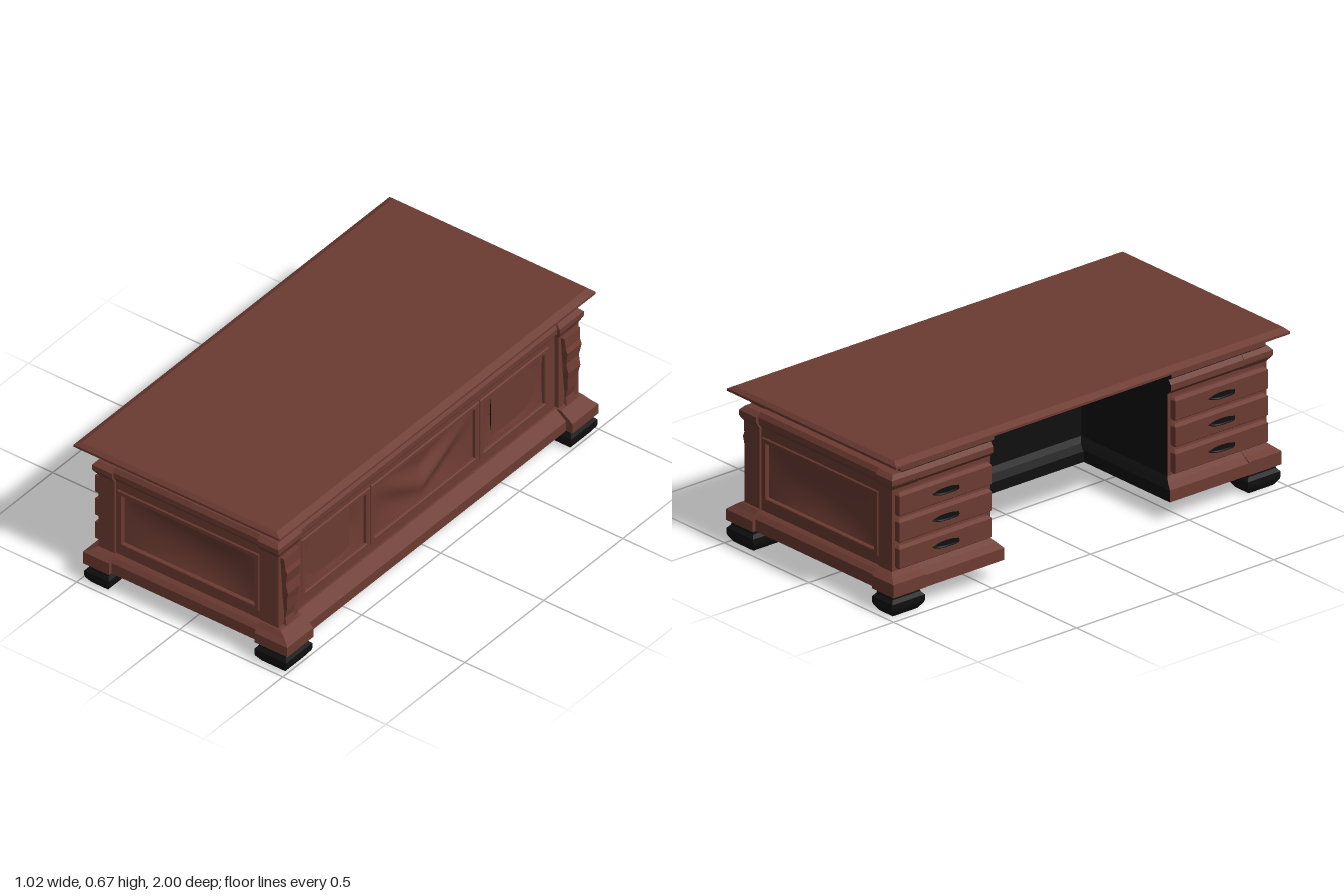
import * as THREE from 'three';

const wood = new THREE.MeshStandardMaterial({ color: 0x6c3b32 });
wood.name = 'mahogany';
const dark = new THREE.MeshStandardMaterial({ color: 0x0f0f0f });
dark.name = 'black';

// Side numbers of a loft
const PX = 0, NZ = 1, NX = 2, PZ = 3, BOTTOM = 4;

// Stacks rectangles [y, x0, x1, z0, z1] into a moulded block; sides listed in darkSides are black
function loft(name, sections, darkSides = []) {
  const corners = sections.map(([y, x0, x1, z0, z1]) =>
    [[x1, y, z1], [x1, y, z0], [x0, y, z0], [x0, y, z1]]);
  const pos = [];
  const geo = new THREE.BufferGeometry();
  const quad = (a, b, c, d) => pos.push(...a, ...b, ...c, ...a, ...c, ...d);
  const group = (side, build) => {
    const start = pos.length / 3;
    build();
    geo.addGroup(start, pos.length / 3 - start, darkSides.includes(side) ? 1 : 0);
  };
  for (let k = 0; k < 4; k++) {
    const n = (k + 1) % 4;
    group(k, () => {
      for (let i = 0; i + 1 < corners.length; i++) {
        const lo = corners[i], hi = corners[i + 1];
        quad(lo[k], lo[n], hi[n], hi[k]);
      }
    });
  }
  const b = corners[0], t = corners[corners.length - 1];
  group(BOTTOM, () => quad(b[3], b[2], b[1], b[0]));
  group(5, () => quad(t[0], t[1], t[2], t[3]));
  geo.setAttribute('position', new THREE.Float32BufferAttribute(pos, 3));
  geo.computeVertexNormals();
  const mesh = new THREE.Mesh(geo, [wood, dark]);
  mesh.name = name;
  return mesh;
}

// Mirrors section z ranges to the chosen end of the desk
const atEnd = (s, sections) => sections.map(([y, x0, x1, a, b]) =>
  [y, x0, x1, Math.min(s * a, s * b), Math.max(s * a, s * b)]);

function rect(path, x0, x1, y0, y1) {
  path.moveTo(x0, y0);
  path.lineTo(x1, y0);
  path.lineTo(x1, y1);
  path.lineTo(x0, y1);
  path.closePath();
  return path;
}

// Flat wall facing +z with framed openings, each filled by a dished panel
function panelWall(name, x0, x1, openings) {
  const g = new THREE.Group();
  g.name = name;
  const add = (geo, part, z) => {
    const m = new THREE.Mesh(geo, wood);
    m.name = part;
    m.position.z = z;
    g.add(m);
    return m;
  };
  const wall = rect(new THREE.Shape(), x0, x1, 0.172, 0.522);
  for (const o of openings) wall.holes.push(rect(new THREE.Path(), o.x0, o.x1, o.y0, o.y1));
  add(new THREE.ExtrudeGeometry(wall, { depth: 0.035, bevelEnabled: false }), 'panelFrame', -0.035);

  for (const { x0: a, x1: b, y0: c, y1: d, drape } of openings) {
    // Raised moulding around the opening
    const lip = rect(new THREE.Shape(), a - 0.008, b + 0.008, c - 0.008, d + 0.008);
    lip.holes.push(rect(new THREE.Path(), a + 0.008, b - 0.008, c + 0.008, d - 0.008));
    add(new THREE.ExtrudeGeometry(lip, {
      depth: 0.012, bevelThickness: 0.004, bevelSize: 0.004, bevelSegments: 1,
    }), 'panelMoulding', -0.01);

    // Hollowed panel, optionally with a carved swag
    const w = b - a, h = d - c;
    const geo = new THREE.PlaneGeometry(w, h, 32, 16);
    const p = geo.attributes.position;
    for (let i = 0; i < p.count; i++) {
      const u = 2 * p.getX(i) / w, v = 2 * p.getY(i) / h;
      const inside = (1 - u * u) * (1 - v * v);
      const swag = drape ? Math.max(0, 1 - 1.8 * Math.abs(v + 0.5 - 1.4 * Math.abs(u))) : 0;
      p.setZ(i, inside * (-0.022 + 0.03 * swag));
    }
    geo.computeVertexNormals();
    const m = add(geo, drape ? 'carvedPanel' : 'dishedPanel', -0.012);
    m.position.x = (a + b) / 2;
    m.position.y = (c + d) / 2;
  }
  return g;
}

// Bow handle standing out towards -x
function handle(y, z) {
  const g = new THREE.Group();
  g.name = 'drawerHandle';
  const bow = new THREE.CatmullRomCurve3([[0.005, -0.065], [-0.016, -0.045], [-0.022, 0], [-0.016, 0.045], [0.005, 0.065]]
    .map(([x, dz]) => new THREE.Vector3(x, 0, dz)));
  const grip = new THREE.Mesh(new THREE.TubeGeometry(bow, 16, 0.005, 6), dark);
  grip.name = 'handleGrip';
  const plate = new THREE.Mesh(new THREE.CylinderGeometry(1, 1, 0.006, 16), dark);
  plate.name = 'handlePlate';
  plate.rotation.z = Math.PI / 2;
  plate.scale.set(0.012, 1, 0.06);
  g.add(grip, plate);
  g.position.set(-0.461, y, z);
  return g;
}

function foot(x0, x1, s) {
  const steps = [[0, 0.02], [0.025, 0.003], [0.035, 0], [0.058, 0], [0.072, 0.012], [0.092, 0.016]];
  const m = loft('foot', atEnd(s, steps.map(([y, i]) => [y, x0 + i, x1 - i, 0.82 + i, 0.985 - i])));
  m.material = dark;
  return m;
}

export function createModel() {
  const desk = new THREE.Group();
  desk.name = 'desk';

  // Table top with bevelled rim
  desk.add(loft('tableTop', [
    [0.627, -0.48, 0.45, -0.965, 0.965],
    [0.645, -0.515, 0.485, -1, 1],
    [0.655, -0.515, 0.485, -1, 1],
    [0.67, -0.487, 0.457, -0.985, 0.985],
  ], [BOTTOM]));

  // Long middle section behind the kneehole
  desk.add(loft('middleCarcass', [
    [0.09, 0.03, 0.48, -0.83, 0.83],
    [0.135, 0.03, 0.48, -0.83, 0.83],
    [0.155, 0.06, 0.455, -0.83, 0.83],
    [0.175, 0.08, 0.43, -0.83, 0.83],
    [0.175, 0.08, 0.385, -0.83, 0.83],
    [0.52, 0.08, 0.385, -0.83, 0.83],
    [0.52, 0.08, 0.425, -0.83, 0.83],
    [0.54, 0.08, 0.44, -0.83, 0.83],
    [0.565, 0.08, 0.44, -0.83, 0.83],
    [0.585, 0.08, 0.425, -0.83, 0.83],
    [0.59, 0.08, 0.41, -0.83, 0.83],
    [0.628, 0.08, 0.41, -0.83, 0.83],
  ], [NX, BOTTOM]));
  const longWall = panelWall('longPanels', -0.83, 0.83, [
    { x0: -0.77, x1: -0.36, y0: 0.22, y1: 0.48 },
    { x0: -0.33, x1: 0.33, y0: 0.22, y1: 0.48, drape: true },
    { x0: 0.36, x1: 0.77, y0: 0.22, y1: 0.48 },
  ]);
  longWall.rotation.y = Math.PI / 2;
  longWall.position.x = 0.42;
  desk.add(longWall);

  for (const s of [1, -1]) {
    // Drawer pedestal with plinth, cornice and frieze
    desk.add(loft('pedestal', atEnd(s, [
      [0.09, -0.48, 0.45, 0.42, 0.97],
      [0.14, -0.48, 0.45, 0.42, 0.97],
      [0.16, -0.45, 0.44, 0.435, 0.955],
      [0.175, -0.43, 0.41, 0.45, 0.935],
      [0.175, -0.43, 0.40, 0.45, 0.895],
      [0.52, -0.43, 0.40, 0.45, 0.895],
      [0.52, -0.43, 0.40, 0.45, 0.94],
      [0.54, -0.45, 0.42, 0.45, 0.955],
      [0.565, -0.45, 0.42, 0.45, 0.955],
      [0.585, -0.435, 0.42, 0.45, 0.945],
      [0.588, -0.445, 0.40, 0.45, 0.91],
      [0.597, -0.455, 0.415, 0.45, 0.925],
      [0.62, -0.455, 0.415, 0.45, 0.925],
      [0.628, -0.445, 0.40, 0.45, 0.915],
    ]), [s > 0 ? NZ : PZ, BOTTOM]));

    // End panel
    const end = panelWall('endPanel', -0.357, 0.357,
      [{ x0: -0.335 + (s < 0 ? 0.005 : 0), x1: 0.33, y0: 0.22, y1: 0.47 }]);
    end.rotation.y = s > 0 ? 0 : Math.PI;
    end.position.z = s * 0.94;
    desk.add(end);

    // Corner posts
    desk.add(loft('panelSidePost', atEnd(s, [
      [0.09, 0.352, 0.51, 0.82, 0.985],
      [0.135, 0.352, 0.51, 0.82, 0.985],
      [0.155, 0.352, 0.485, 0.82, 0.968],
      [0.175, 0.352, 0.455, 0.82, 0.955],
      [0.178, 0.352, 0.44, 0.825, 0.95],
      [0.518, 0.352, 0.44, 0.825, 0.95],
      [0.545, 0.352, 0.453, 0.815, 0.967],
      [0.567, 0.352, 0.453, 0.815, 0.967],
      [0.585, 0.352, 0.437, 0.82, 0.95],
      [0.588, 0.352, 0.42, 0.82, 0.92],
      [0.597, 0.352, 0.432, 0.82, 0.93],
      [0.62, 0.352, 0.432, 0.82, 0.93],
      [0.628, 0.352, 0.42, 0.82, 0.92],
    ]), [BOTTOM]));
    desk.add(loft('drawerSidePost', atEnd(s, [
      [0.09, -0.482, -0.355, 0.82, 0.985],
      [0.145, -0.482, -0.355, 0.82, 0.985],
      [0.16, -0.455, -0.355, 0.82, 0.968],
      [0.175, -0.432, -0.355, 0.82, 0.95],
      [0.518, -0.432, -0.355, 0.82, 0.95],
      [0.545, -0.452, -0.355, 0.82, 0.967],
      [0.567, -0.452, -0.355, 0.82, 0.967],
      [0.585, -0.437, -0.355, 0.82, 0.95],
    ]), [BOTTOM]));

    // Carved scroll on the post, [y, x, half width]
    const scroll = [[0.175, 0.455, 0.03], [0.21, 0.446, 0.025], [0.25, 0.455, 0.028], [0.3, 0.46, 0.034],
      [0.34, 0.468, 0.038], [0.385, 0.459, 0.04], [0.44, 0.469, 0.045], [0.46, 0.461, 0.045], [0.51, 0.458, 0.05]];
    desk.add(loft('postCarving', atEnd(s, scroll.map(([y, x, w]) => [y, 0.43, x, 0.888 - w, 0.888 + w]))));

    // Drawers and handles
    for (const y of [0.235, 0.347, 0.458]) {
      desk.add(loft('drawerFront', atEnd(s, [
        [y - 0.052, -0.445, -0.42, 0.475, 0.925],
        [y - 0.042, -0.46, -0.42, 0.465, 0.935],
        [y + 0.037, -0.46, -0.42, 0.465, 0.935],
        [y + 0.047, -0.445, -0.42, 0.475, 0.925],
      ])));
      desk.add(handle(y, s * 0.7));
    }

    // Feet
    desk.add(foot(-0.475, -0.355, s), foot(0.35, 0.505, s));
  }
  return desk;
}
